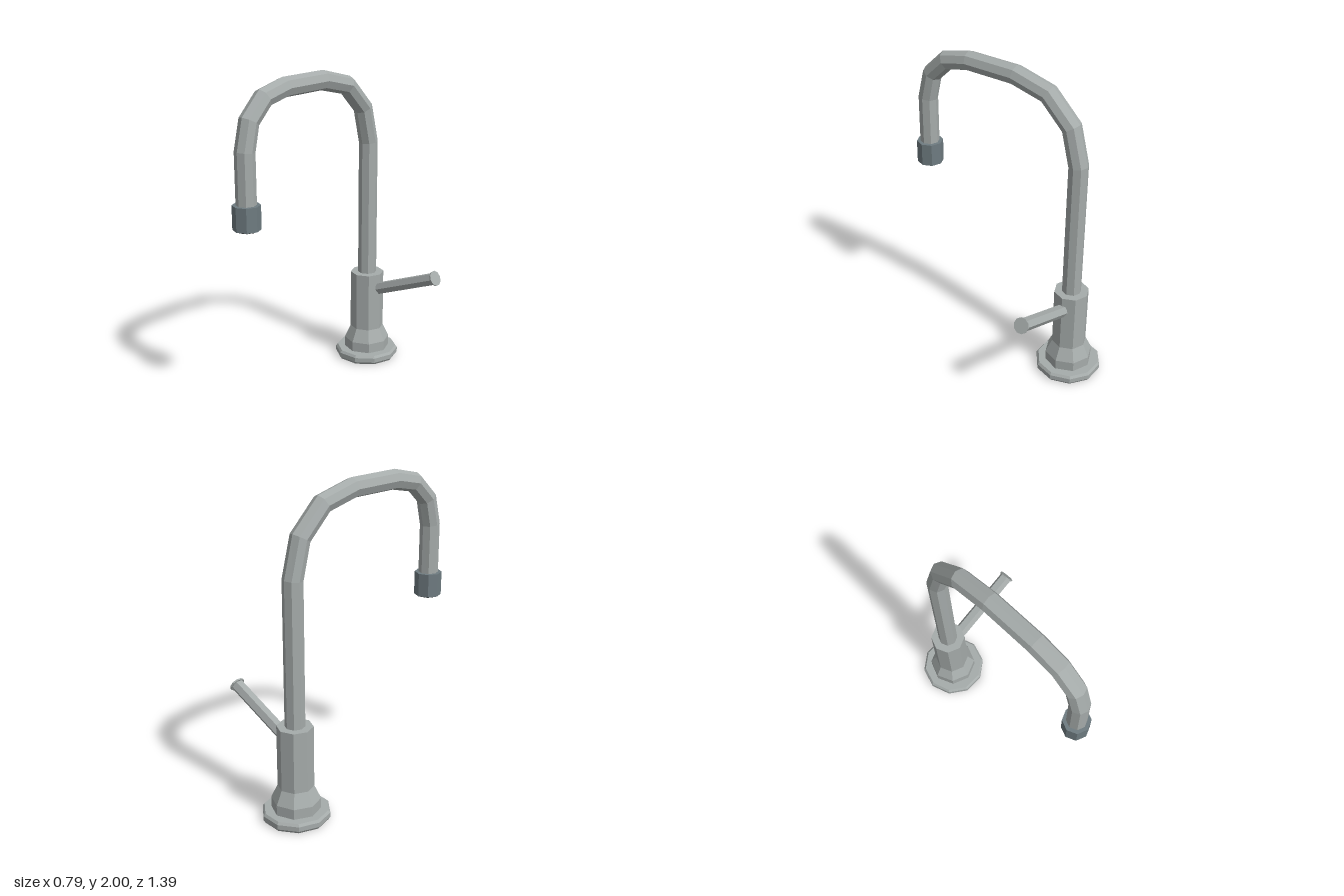
import * as THREE from 'three';

const AXIS_X = -0.19, POST_Z = -0.49, TIP_Z = 0.612;
const PIPE_R = 0.061, PIPE_SIDES = 8;

// Faceted solid of revolution from a bottom-to-top profile
function lathe(profile, sides) {
  return new THREE.LatheGeometry(profile.map(([r, y]) => new THREE.Vector2(r, y)), sides);
}

// Eight-sided pipe along a [z, y] path, one ring per bend
function pipeGeometry(path) {
  const pts = path.map(([z, y]) => new THREE.Vector3(0, y, z));
  const positions = [], index = [];
  pts.forEach((p, i) => {
    const dirIn = p.clone().sub(pts[Math.max(i - 1, 0)]).normalize();
    const dirOut = pts[Math.min(i + 1, pts.length - 1)].clone().sub(p).normalize();
    const t = dirIn.add(dirOut).normalize();
    for (let s = 0; s < PIPE_SIDES; s++) {
      const a = (s / PIPE_SIDES) * Math.PI * 2;
      const across = Math.cos(a) * PIPE_R, side = Math.sin(a) * PIPE_R;
      positions.push(side, p.y - t.z * across, p.z + t.y * across);
      if (i > 0) {
        const n = (s + 1) % PIPE_SIDES;
        const lo = (i - 1) * PIPE_SIDES, hi = i * PIPE_SIDES;
        index.push(lo + s, lo + n, hi + s, lo + n, hi + n, hi + s);
      }
    }
  });
  const geometry = new THREE.BufferGeometry();
  geometry.setAttribute('position', new THREE.Float32BufferAttribute(positions, 3));
  geometry.setIndex(index);
  geometry.computeVertexNormals();
  return geometry;
}

export function createModel() {
  const group = new THREE.Group();
  group.name = 'faucet';

  const material = (name, color) => {
    const m = new THREE.MeshStandardMaterial({ color, flatShading: true });
    m.name = name;
    return m;
  };
  const metal = material('brushed metal', 0xa6acab);
  const nozzleGrey = material('nozzle grey', 0x6f7c81);
  const black = material('outlet black', 0x161818);

  const add = (name, geometry, mat, x, y, z) => {
    const mesh = new THREE.Mesh(geometry, mat);
    mesh.name = name;
    mesh.position.set(x, y, z);
    group.add(mesh);
    return mesh;
  };

  // Round foot with bevelled rims, a corner towards each side
  const foot = lathe([[0, 0], [0.2, 0], [0.21, 0.015], [0.21, 0.045], [0.198, 0.06], [0, 0.06]], 10);
  add('baseFlange', foot, metal, AXIS_X, 0, POST_Z).rotation.y = Math.PI / 2;

  // Flared octagonal body
  const body = lathe([[0, 0.055], [0.15, 0.055], [0.15, 0.125], [0.11, 0.21], [0.11, 0.6], [0, 0.6]], 8);
  add('body', body, metal, AXIS_X, 0, POST_Z);

  // Gooseneck spout
  const path = [
    [POST_Z, 0.58], [POST_Z, 1.49], [-0.432, 1.72], [-0.27, 1.883], [-0.043, 1.94],
    [0.285, 1.94], [0.455, 1.9], [0.572, 1.785], [TIP_Z, 1.617], [TIP_Z, 1.2],
  ];
  add('spout', pipeGeometry(path), metal, AXIS_X, 0, 0);

  // Nozzle collar and its dark outlet
  add('nozzle', new THREE.CylinderGeometry(0.084, 0.084, 0.147, 8), nozzleGrey, AXIS_X, 1.237, TIP_Z);
  add('outlet', new THREE.CylinderGeometry(0.06, 0.06, 0.02, 8), black, AXIS_X, 1.164, TIP_Z);

  // Lever, tilted up towards the left
  const start = new THREE.Vector3(-0.085, 0.502, POST_Z);
  const end = new THREE.Vector3(0.358, 0.678, POST_Z);
  const mid = start.clone().lerp(end, 0.5);
  const tilt = Math.atan2(end.y - start.y, end.x - start.x);
  const lever = new THREE.CylinderGeometry(0.041, 0.041, start.distanceTo(end), 6);
  add('lever', lever, metal, mid.x, mid.y, mid.z).rotation.z = tilt - Math.PI / 2;

  // Thin cap on the lever end
  const cap = new THREE.CylinderGeometry(0.05, 0.048, 0.01, 10);
  add('leverCap', cap, metal, 0.363, 0.681, POST_Z).rotation.z = tilt + 0.08 - Math.PI / 2;

  return group;
}
